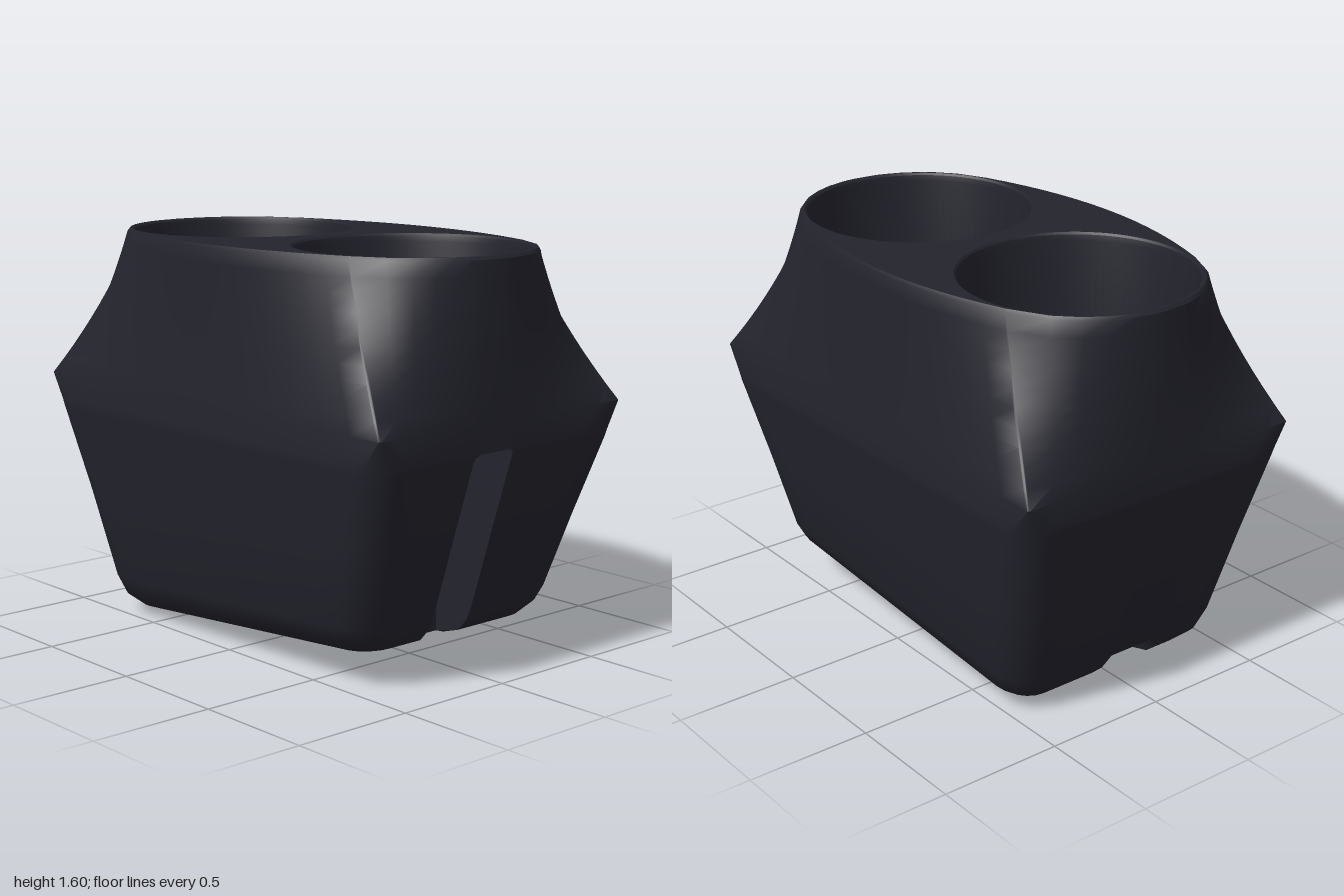
import * as THREE from 'three';
import { toCreasedNormals } from 'three/addons/utils/BufferGeometryUtils.js';

const TOP = 1.6, FLOOR = 0.95, ARC = 5, SIDE = 14;
const SLOT_Z = 0.62, GROOVE_Y = 0.11;

// Fixed columns around the cable slot: slotTop = height of the recess, groove = cut under the base
const SLOT = [
  { x: -0.2 }, { x: -0.165, groove: true },
  { x: -0.157, slotTop: 0.87, groove: true }, { x: -0.13, slotTop: 0.884, groove: true },
  { x: 0, slotTop: 0.884, groove: true }, { x: 0.027, slotTop: 0.87, groove: true },
  { x: 0.035, groove: true }, { x: 0.08 },
];
const SPREAD = [0.2, 0.4, 0.6, 0.8, 1];

// Columns across the front and back; e is the flat half width
function columns(e) {
  const left = SPREAD.map(f => ({ x: -0.2 - (e - 0.2) * f })).reverse();
  const right = SPREAD.map(f => ({ x: 0.08 + (e - 0.08) * f }));
  return [...left, ...SLOT, ...right];
}

// One rounded rectangle, running front, right, back, left
function ring({ yF, yB, zF, zB, w, r }) {
  const pts = [];
  const add = (x, z, kind, col = {}) => {
    let y = yB + (yF - yB) * (z - zB) / (zF - zB);
    if (kind === 'front' && y < (col.slotTop ?? -1)) z = Math.min(z, SLOT_Z);
    if (col.groove) y = Math.max(y, GROOVE_Y);
    pts.push({ x, y, z, kind });
  };
  const corner = (cx, cz, a0) => {
    for (let i = 1; i <= ARC; i++) {
      const a = a0 + (i / ARC) * Math.PI / 2;
      add(cx + r * Math.cos(a), cz - r * Math.sin(a), 'side');
    }
  };
  const side = (x, z0, z1) => {
    for (let i = 1; i <= SIDE; i++) add(x, z0 + (z1 - z0) * i / SIDE, 'side');
  };
  const cols = columns(w - r);
  cols.forEach(c => add(c.x, zF, 'front', c));
  corner(w - r, zF - r, -Math.PI / 2);
  side(w, zF - r, zB + r);
  corner(w - r, zB + r, 0);
  pts.pop();
  [...cols].reverse().forEach(c => add(c.x, zB, 'back', c));
  corner(-w + r, zB + r, Math.PI / 2);
  side(-w, zB + r, zF - r);
  corner(-w + r, zF - r, Math.PI);
  pts.pop();
  return pts;
}

// Matching point on the oval rim
function onRim(p) {
  if (p.kind === 'side') {
    const s = p.z * 0.65;
    return { x: Math.sign(p.x) * (0.575 - 0.119 * (s / 0.65) ** 2), z: s };
  }
  const x = p.x * 0.456 / 0.62;
  return { x, z: Math.sign(p.z) * (0.5 + Math.sqrt(0.48 ** 2 - x * x)) };
}

function bodyRings() {
  // yFront, yBack, zFront, zBack, half width, corner radius
  const lower = [
    [0.115, 0, 0.65, -0.63, 0.35, 0.08],
    [0.14, 0.025, 0.73, -0.72, 0.435, 0.11],
    [0.19, 0.075, 0.775, -0.775, 0.495, 0.13],
    [0.25, 0.15, 0.8, -0.805, 0.525, 0.14],
    [0.55, 0.52, 0.895, -0.905, 0.578, 0.14],
    [0.865, 0.865, 0.995, -0.995, 0.636, 0.13],
    [0.88, 0.88, 0.999, -0.999, 0.638, 0.13],
    [0.89, 0.89, 1, -1, 0.638, 0.125],
    [1, 1, 0.996, -0.996, 0.63, 0.01],
  ].map(([yF, yB, zF, zB, w, r]) => ring({ yF, yB, zF, zB, w, r }));
  // Shoulder blending from the rectangle to the oval rim
  const base = lower[lower.length - 1];
  const upper = [];
  for (let i = 1; i <= 10; i++) {
    const t = i / 10, k = t + 0.3 * t * (1 - t);
    upper.push(base.map(p => {
      const o = onRim(p);
      return { x: p.x + (o.x - p.x) * k, y: 1 + 0.588 * t, z: p.z + (o.z - p.z) * k };
    }));
  }
  const rim = upper[9].map(p => ({ x: p.x * 0.985, y: TOP, z: p.z * 0.99 }));
  return [...lower, ...upper, rim];
}

function bodyGeometry(rings) {
  const n = rings[0].length, index = [];
  for (let k = 0; k < rings.length - 1; k++) {
    for (let i = 0; i < n; i++) {
      const j = (i + 1) % n, a = k * n, b = a + n;
      index.push(a + i, a + j, b + j, a + i, b + j, b + i);
    }
  }
  // Underside: strips from front to back, then a fan at each side
  const nc = SLOT.length + 2 * SPREAD.length;
  const back0 = rings[0].findIndex(p => p.kind === 'back');
  const opp = i => back0 + nc - 1 - i;
  for (let i = 0; i < nc - 1; i++) {
    index.push(i, opp(i), opp(i + 1), i, opp(i + 1), i + 1);
  }
  const fan = (from, to) => {
    for (let i = from + 1; i < to; i++) index.push(from, (i + 1) % n, i);
  };
  fan(nc - 1, back0);
  fan(back0 + nc - 1, n);
  const g = new THREE.BufferGeometry();
  g.setAttribute('position', new THREE.Float32BufferAttribute(rings.flat().flatMap(p => [p.x, p.y, p.z]), 3));
  g.setIndex(index);
  return toCreasedNormals(g, 0.6);
}

export function createModel() {
  const group = new THREE.Group();
  group.name = 'doubleCupHolder';
  const plastic = new THREE.MeshStandardMaterial({ color: 0x23232d });
  plastic.name = 'charcoal plastic';
  const add = (geometry, name) => {
    const mesh = new THREE.Mesh(geometry, plastic);
    mesh.name = name;
    group.add(mesh);
    return mesh;
  };

  // Tapered shell with slot and groove
  const rings = bodyRings();
  add(bodyGeometry(rings), 'body');

  // Flat rim with two openings
  const shape = new THREE.Shape(rings[rings.length - 1].map(p => new THREE.Vector2(p.x, -p.z)));
  for (const z of [-0.5, 0.5]) {
    shape.holes.push(new THREE.Path().absarc(0, z, 0.46, 0, Math.PI * 2, true));
  }
  const top = new THREE.ShapeGeometry(shape, 48);
  top.rotateX(-Math.PI / 2);
  top.translate(0, TOP, 0);
  add(top, 'topRim');

  // Cup wells
  const profile = [[0.46, TOP], [0.452, 1.592], [0.447, 1.57], [0.425, FLOOR + 0.02], [0.41, FLOOR], [0, FLOOR]]
    .map(([x, y]) => new THREE.Vector2(x, y));
  for (const [z, name] of [[0.5, 'frontCupWell'], [-0.5, 'backCupWell']]) {
    const well = toCreasedNormals(new THREE.LatheGeometry(profile, 96), 0.5);
    add(well, name).position.z = z;
  }
  return group;
}
